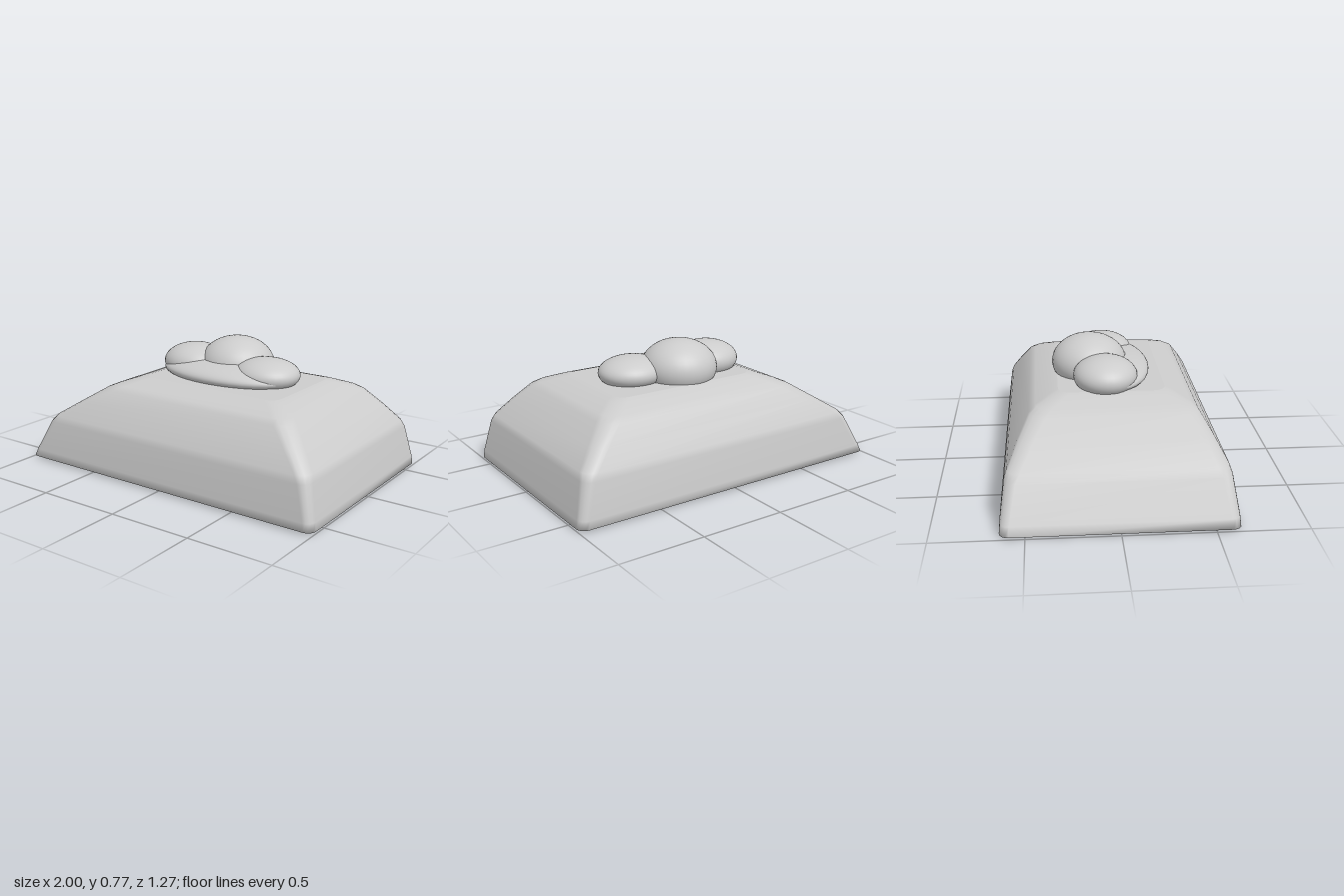
import * as THREE from 'three';

const material = new THREE.MeshStandardMaterial({ color: 0xcccccc });

// Outline of a rectangle with rounded corners, counter-clockwise seen from above
function ring([y, x0, x1, hz, r], steps = 4) {
  const corners = [[x1, hz, 1, 1], [x1, -hz, 1, -1], [x0, -hz, -1, -1], [x0, hz, -1, 1]];
  const points = [];
  corners.forEach(([x, z, sx, sz], c) => {
    for (let i = 0; i <= steps; i++) {
      const a = Math.PI / 2 * (1 - c - i / steps) - 0;
      const b = a;
      points.push(new THREE.Vector3(x - sx * r + r * Math.cos(b), y, z - sz * r + r * Math.sin(b)));
    }
  });
  return points;
}

// Skin stacked outlines, with a flat floor and top
function loft(levels) {
  const rings = levels.map((l) => ring(l));
  const n = rings[0].length;
  const pos = [], index = [];
  rings.forEach((r) => r.forEach((p) => pos.push(p.x, p.y, p.z)));
  for (let j = 0; j < rings.length - 1; j++) {
    for (let i = 0; i < n; i++) {
      const a = j * n + i, b = j * n + (i + 1) % n;
      index.push(a, b, b + n, a, b + n, a + n);
    }
  }
  for (const top of [false, true]) {
    const r = rings[top ? rings.length - 1 : 0];
    const start = pos.length / 3;
    const [y, x0, x1] = levels[top ? levels.length - 1 : 0];
    r.forEach((p) => pos.push(p.x, p.y, p.z));
    pos.push((x0 + x1) / 2, y, 0);
    for (let i = 0; i < n; i++) {
      const a = start + i, b = start + (i + 1) % n;
      if (top) index.push(a, b, start + n);
      else index.push(b, a, start + n);
    }
  }
  const g = new THREE.BufferGeometry();
  g.setAttribute('position', new THREE.Float32BufferAttribute(pos, 3));
  g.setIndex(index);
  g.computeVertexNormals();
  return g;
}

// Ellipsoid with its underside flattened onto the body's top
function puff(name, x, y, z, rx, ry, rz) {
  const g = new THREE.SphereGeometry(1, 32, 24);
  g.scale(rx, ry, rz).translate(x, y, z);
  const p = g.attributes.position;
  for (let i = 0; i < p.count; i++) p.setY(i, Math.max(p.getY(i), 0.545));
  const mesh = new THREE.Mesh(g, material);
  mesh.name = name;
  return mesh;
}

export function createModel() {
  const model = new THREE.Group();
  model.name = 'mound';

  // Sloping body: height, x range, half depth, corner radius
  const body = new THREE.Mesh(loft([
    [0, -0.95, 0.95, 0.58, 0.03],
    [0.012, -1, 1, 0.635, 0.05],
    [0.06, -0.975, 0.994, 0.632, 0.05],
    [0.25, -0.872, 0.952, 0.606, 0.06],
    [0.29, -0.84, 0.937, 0.592, 0.07],
    [0.39, -0.685, 0.845, 0.533, 0.08],
    [0.48, -0.545, 0.755, 0.472, 0.09],
    [0.505, -0.49, 0.715, 0.435, 0.09],
    [0.54, -0.395, 0.62, 0.345, 0.08],
    [0.55, -0.35, 0.57, 0.305, 0.07],
  ]), material);
  body.name = 'body';
  model.add(body);

  // Rounded lumps on top
  const lumps = new THREE.Group();
  lumps.name = 'topLumps';
  lumps.add(
    puff('centreLump', 0.04, 0.605, -0.11, 0.225, 0.165, 0.222),
    puff('rightLump', -0.21, 0.6, -0.03, 0.2, 0.112, 0.185),
    puff('leftLump', 0.31, 0.595, -0.02, 0.2, 0.095, 0.182),
    puff('frontLump', 0.05, 0.575, 0.02, 0.43, 0.075, 0.225),
  );
  model.add(lumps);
  return model;
}
